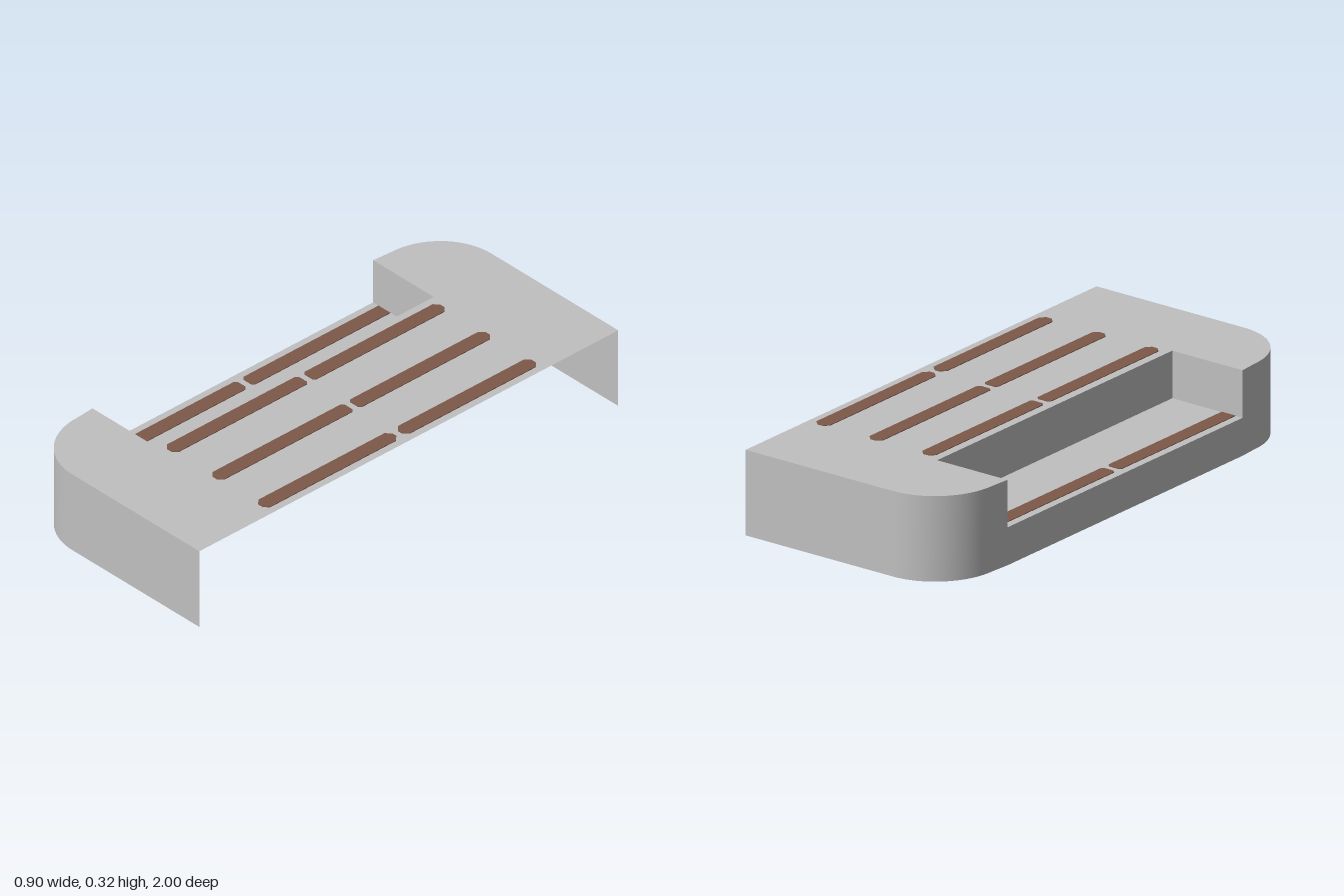
import * as THREE from 'three';

const shellGrey = new THREE.MeshStandardMaterial({ color: 0xc0c0c0, side: THREE.DoubleSide });
shellGrey.name = 'shellGrey';
const stripeBrown = new THREE.MeshStandardMaterial({ color: 0x7d5849 });
stripeBrown.name = 'stripeBrown';

const H = 0.32, SHELF = 0.142, X = 0.45, NOTCH_X = -0.14, NOTCH_Z = 0.67;

function add(group, name, geometry, material) {
  const mesh = new THREE.Mesh(geometry, material);
  mesh.name = name;
  group.add(mesh);
  return mesh;
}

// Upright sheet following a path of [x, z] points
function wallGeometry(path, y0, y1) {
  const pos = [], idx = [];
  path.forEach(([x, z], i) => {
    pos.push(x, y0, z, x, y1, z);
    if (i) {
      const a = 2 * (i - 1);
      idx.push(a, a + 1, a + 2, a + 1, a + 3, a + 2);
    }
  });
  const g = new THREE.BufferGeometry();
  g.setAttribute('position', new THREE.Float32BufferAttribute(pos, 3));
  g.setIndex(idx);
  g.computeVertexNormals();
  return g;
}

// Flat sheet facing up, from [x, z] points symmetric in z
function sheetGeometry(points, y) {
  const shape = new THREE.Shape(points.map(([x, z]) => new THREE.Vector2(x, -z)));
  return new THREE.ShapeGeometry(shape).rotateX(-Math.PI / 2).translate(0, y, 0);
}

// Thin strip showing on both faces of a sheet, with chamfered or square ends
function stripeGeometry(z0, z1, w, chamfer0, chamfer1) {
  const s = new THREE.Shape();
  const h = w / 2, c0 = chamfer0, c1 = chamfer1;
  s.moveTo(-h, z0 + c0);
  s.lineTo(-h + c0, z0);
  s.lineTo(h - c0, z0);
  s.lineTo(h, z0 + c0);
  s.lineTo(h, z1 - c1);
  s.lineTo(h - c1, z1);
  s.lineTo(-h + c1, z1);
  s.lineTo(-h, z1 - c1);
  const t = 0.005;
  return new THREE.ExtrudeGeometry(s, { depth: t, bevelEnabled: false })
    .translate(0, 0, -t / 2).rotateX(Math.PI / 2);
}

export function createModel() {
  const model = new THREE.Group();
  model.name = 'slottedCover';

  // Outline of one end: straight end, rounded corner, short run to the notch
  const end = [[X, 1]];
  for (let i = 0; i <= 20; i++) {
    const a = (i / 20) * Math.PI / 2;
    end.push([-0.2 - 0.244 * Math.sin(a), 0.75 + 0.25 * Math.cos(a)]);
  }
  end.push([-X, NOTCH_Z]);
  const otherEnd = end.map(([x, z]) => [x, -z]).reverse();

  // Outer walls, open underneath and along the +x side
  add(model, 'frontEndWall', wallGeometry(end, 0, H), shellGrey);
  add(model, 'backEndWall', wallGeometry(otherEnd, 0, H), shellGrey);
  add(model, 'lowSideWall', wallGeometry([[-X, NOTCH_Z], [-X, -NOTCH_Z]], 0, SHELF), shellGrey);

  // Notch walls and shelf
  const notch = [[-X, NOTCH_Z], [NOTCH_X, NOTCH_Z], [NOTCH_X, -NOTCH_Z], [-X, -NOTCH_Z]];
  ['notchFrontWall', 'notchInnerWall', 'notchBackWall'].forEach((name, i) =>
    add(model, name, wallGeometry([notch[i], notch[i + 1]], SHELF, H), shellGrey));
  add(model, 'shelf', sheetGeometry(notch, SHELF), shellGrey);

  // Top deck with the notch cut out
  add(model, 'topDeck', sheetGeometry([...end, notch[1], notch[2], ...otherEnd], H), shellGrey);

  // Two brown stripes in each of four rows
  [[-0.39, SHELF], [-0.077, H], [0.156, H], [0.39, H]].forEach(([x, y], row) => {
    const onShelf = row === 0;
    for (const side of [-1, 1]) {
      const g = stripeGeometry(0.013, onShelf ? 0.668 : 0.652, 0.06, row === 3 ? 0.02 : 0.01, onShelf ? 0 : 0.018);
      if (side < 0) g.rotateY(Math.PI);
      add(model, onShelf ? 'shelfStripe' : 'deckStripe', g, stripeBrown).position.set(x, y, 0);
    }
  });

  return model;
}
